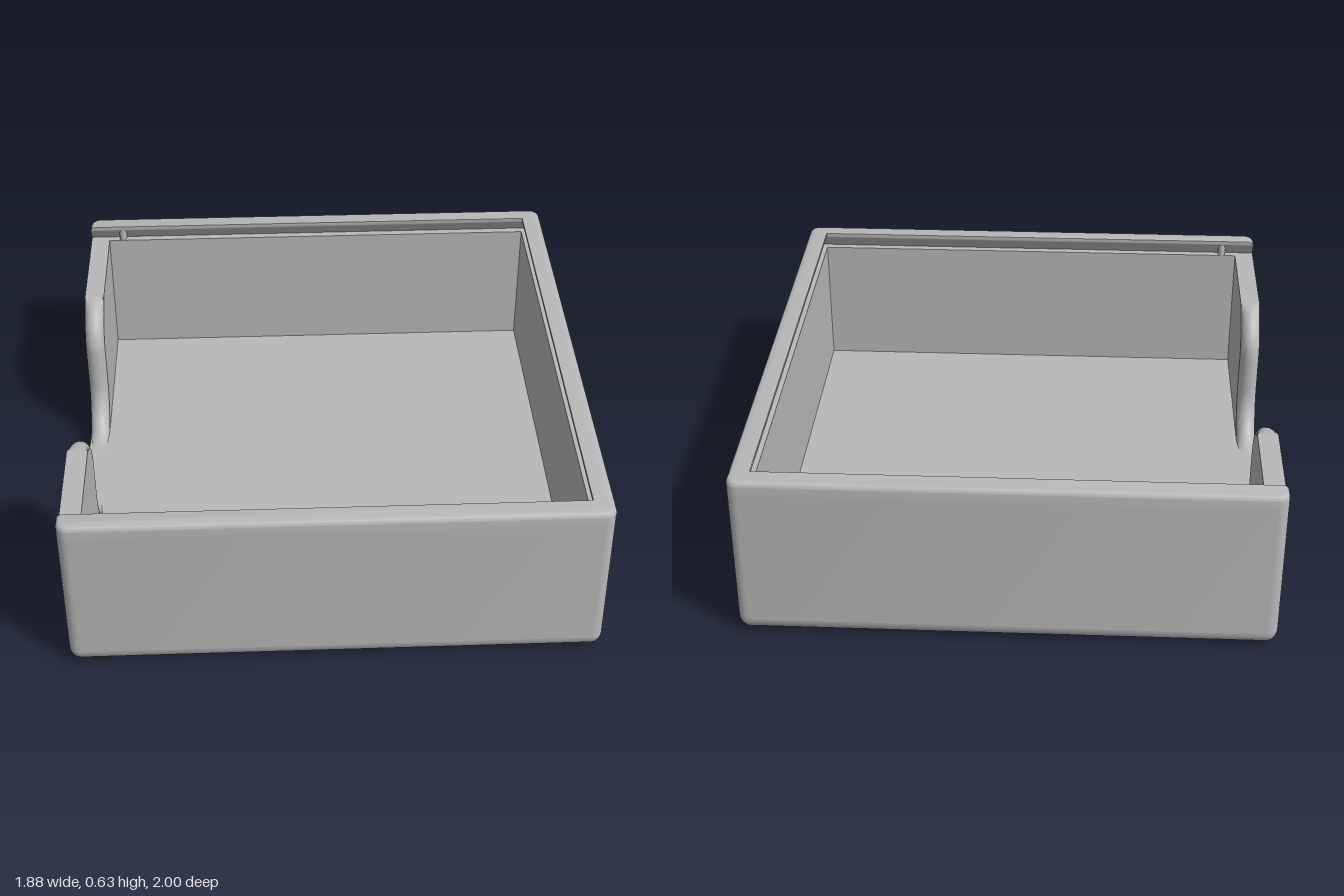
import * as THREE from 'three';
import { toCreasedNormals } from 'three/addons/utils/BufferGeometryUtils.js';

const X = 0.9425, Z = 1, WALL = 0.075;          // half sizes and wall thickness
const FLOOR = 0.065, LEDGE = 0.57, TOP = 0.635; // heights
const INX = X - WALL, INZ = Z - WALL;

// Surface through rows of [x, y, z] points; optional caps close the first and last row.
function loft(rows, closed, capped) {
  const pos = [];
  const v = rows.map(r => r.map(p => new THREE.Vector3(...p)));
  const tri = (a, b, c) => {
    const area = b.clone().sub(a).cross(c.clone().sub(a)).length();
    if (area > 1e-9) for (const p of [a, b, c]) pos.push(p.x, p.y, p.z);
  };
  for (let i = 0; i < v.length - 1; i++) {
    const n = v[i].length;
    for (let j = 0; j < (closed ? n : n - 1); j++) {
      const k = (j + 1) % n;
      tri(v[i][j], v[i][k], v[i + 1][k]);
      tri(v[i][j], v[i + 1][k], v[i + 1][j]);
    }
  }
  if (capped) {
    const cap = (row, up) => {
      const flat = row.map(p => new THREE.Vector2(p.x, -p.z));
      for (const [a, b, c] of THREE.ShapeUtils.triangulateShape(flat, []))
        up ? tri(row[a], row[b], row[c]) : tri(row[a], row[c], row[b]);
    };
    cap(v[0], false);
    cap(v[v.length - 1], true);
  }
  const g = new THREE.BufferGeometry();
  g.setAttribute('position', new THREE.Float32BufferAttribute(pos, 3));
  return toCreasedNormals(g, 0.6);
}

// Rounded rectangle at height y, inset by d, starting at the -x +z corner.
function outline(y, d) {
  const r = Math.max(0.04 - d, 0.003), pts = [];
  const corners = [[-1, 1], [1, 1], [1, -1], [-1, -1]];
  corners.forEach(([sx, sz], q) => {
    for (let i = 0; i <= 6; i++) {
      const a = Math.PI + (q + i / 6) * Math.PI / 2;
      pts.push([sx * (X - d - r) + r * Math.cos(a), y, sz * (Z - d - r) - r * Math.sin(a)]);
    }
  });
  return pts;
}

// C-shaped wall section, open toward -x, with its inner faces cut back by g.
function wallSection(y, d, g) {
  const w = INZ + g, x = INX + g;
  return [[-X + d, y, w], ...outline(y, d), [-X + d, y, -w], [x, y, -w], [x, y, w]];
}

export function createModel() {
  const model = new THREE.Group();
  const grey = new THREE.MeshStandardMaterial({ color: 0xb8b8b8 });
  grey.name = 'grey plastic';
  const add = (name, geometry, parent = model) => {
    const mesh = new THREE.Mesh(geometry, grey);
    mesh.name = name;
    parent.add(mesh);
    return mesh;
  };

  // Floor slab with a rounded lower edge
  const slab = [];
  for (let i = 0; i <= 10; i++) {
    const a = (i / 10) * Math.PI / 2;
    slab.push(outline(FLOOR * (1 - Math.cos(a)), 0.08 * (1 - Math.sin(a))));
  }
  add('floor', loft(slab, true, true));

  // Three walls with a dovetail lid groove and a softened top edge
  const levels = [[FLOOR, 0, 0], [LEDGE, 0, 0], [LEDGE, 0, 0.03], [0.615, 0, 0.003]];
  for (let i = 1; i <= 5; i++) {
    const a = (i / 5) * Math.PI / 2;
    levels.push([0.615 + 0.02 * Math.sin(a), 0.02 * (1 - Math.cos(a)), 0]);
  }
  add('walls', loft(levels.map(l => wallSection(...l)), true, true));

  // S-shaped edge of the thumb opening: concave foot, then convex shoulder
  const edge = [], N = 12, r = WALL / 2;
  for (let i = 0; i <= N; i++) {
    const a = (i / N - 1) * Math.PI / 2, c = Math.cos(a), s = Math.sin(a);
    edge.push({ x: 0.14 + 0.19 * c, y: FLOOR + 0.19 + 0.19 * s, nx: c, ny: s });
  }
  for (let i = 0; i <= N; i++) {
    const a = Math.PI - (i / N) * Math.PI / 2, c = Math.cos(a), s = Math.sin(a);
    edge.push({ x: 0.5 + 0.17 * c, y: LEDGE - 0.17 + 0.17 * s, nx: -c, ny: -s });
  }
  const last = edge.length - 1;
  edge.forEach((p, k) => { p.r = r * Math.min(1, k / 4, (last - k) / 3); });

  // Half of the open-side wall: flat panel plus rounded nosing along the opening
  const panel = new THREE.Shape([
    ...edge.map(p => new THREE.Vector2(p.x + p.nx * p.r, p.y + p.ny * p.r)),
    new THREE.Vector2(INZ, LEDGE), new THREE.Vector2(INZ, 0.05), new THREE.Vector2(0.14, 0.05),
  ]);
  const panelGeo = new THREE.ExtrudeGeometry(panel, { depth: WALL, bevelEnabled: false });
  const nosingGeo = loft(edge.map(p => {
    const row = [];
    for (let j = 0; j <= 12; j++) {
      const s = (j / 12) * Math.PI, o = p.r * (1 - Math.sin(s));
      row.push([p.x + p.nx * o, p.y + p.ny * o, r - r * Math.cos(s)]);
    }
    return row;
  }), false, false);
  for (const g of [panelGeo, nosingGeo]) g.rotateY(-Math.PI / 2).translate(-INX, 0, 0);

  // Mirrored wall halves and the small lid catches in the grooves
  const catchGeo = new THREE.CylinderGeometry(0.015, 0.015, TOP - LEDGE, 16);
  for (const side of [1, -1]) {
    const half = new THREE.Group();
    half.name = side > 0 ? 'frontOpeningWall' : 'backOpeningWall';
    half.scale.z = side;
    add('wallPanel', panelGeo, half);
    add('roundedNosing', nosingGeo, half);
    add('lidCatch', catchGeo, half).position.set(-0.81, (TOP + LEDGE) / 2 - 0.0005, 0.94);
    model.add(half);
  }
  return model;
}
